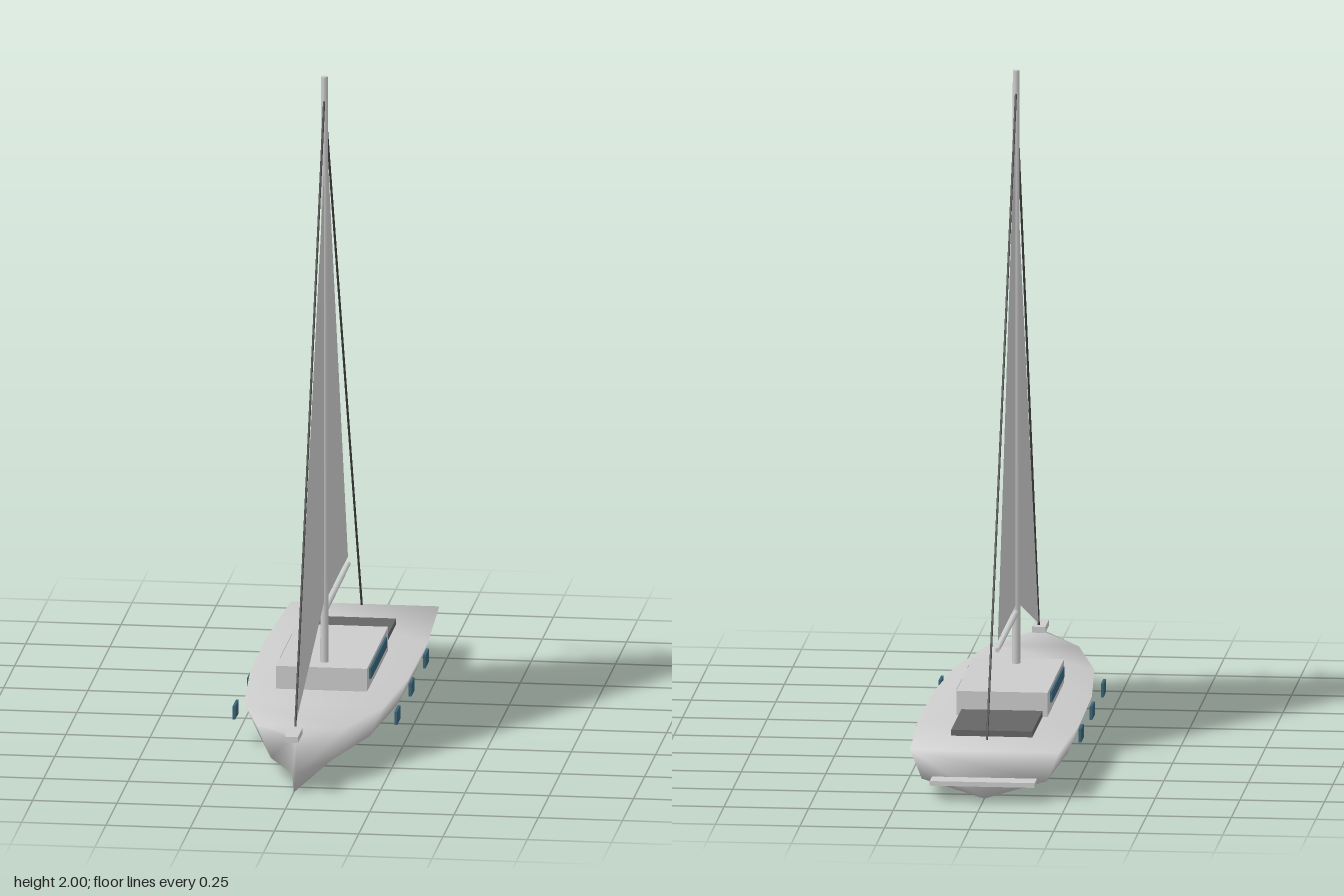
import * as THREE from 'three';

const mat = (color = 0xcccccc, side = THREE.FrontSide) => new THREE.MeshStandardMaterial({ color, side });
const grey = mat();
const glass = mat(0x3a6478);
const dark = mat(0x666666);
const wire = mat(0x444444);
const cloth = mat(0xcccccc, THREE.DoubleSide);

export function createModel() {
  const group = new THREE.Group();

  const add = (name, geometry, material = grey) => {
    const mesh = new THREE.Mesh(geometry, material);
    mesh.name = name;
    group.add(mesh);
    return mesh;
  };
  const box = (name, size, pos, material) =>
    add(name, new THREE.BoxGeometry(...size), material).position.set(...pos);

  // Round bar between two points on the centre plane, given as [y, z]
  const bar = (name, [y0, z0], [y1, z1], r0, r1, sides, material) => {
    const a = new THREE.Vector3(0, y0, z0);
    const b = new THREE.Vector3(0, y1, z1);
    const dir = b.clone().sub(a);
    const mesh = add(name, new THREE.CylinderGeometry(r1, r0, dir.length(), sides), material);
    mesh.position.copy(a).add(b).multiplyScalar(0.5);
    mesh.quaternion.setFromUnitVectors(new THREE.Vector3(0, 1, 0), dir.normalize());
  };

  // Triangular sail from three [y, z] corners
  const sail = (name, corners) => {
    const g = new THREE.BufferGeometry();
    g.setAttribute('position', new THREE.Float32BufferAttribute(corners.flatMap(([y, z]) => [0, y, z]), 3));
    g.computeVertexNormals();
    add(name, g, cloth);
  };

  // Hull
  add('hull', hullGeometry());

  // Cabin with a long window on each side, cockpit, platform and bowsprit
  box('cabin', [0.27, 0.085, 0.48], [0, 0.175, -0.055]);
  box('cockpit', [0.24, 0.03, 0.295], [0, 0.148, -0.443], dark);
  box('sternPlatform', [0.31, 0.014, 0.11], [0, 0.06, -0.815]);
  box('bowsprit', [0.04, 0.018, 0.1], [0, 0.18, 0.82]);
  for (const s of [1, -1]) {
    box('cabinWindow', [0.01, 0.032, 0.36], [s * 0.136, 0.19, -0.045], glass);
    for (const z of [0.295, -0.028, -0.35])
      box('hullWindow', [0.008, 0.04, 0.075], [s * 0.24, 0.11, z], glass);
  }

  // Mast, boom and stays
  bar('mast', [0.145, 0.118], [2, 0.118], 0.0125, 0.01, 12);
  bar('boom', [0.37, 0.118], [0.37, -0.425], 0.009, 0.007, 8);
  bar('forestay', [1.945, 0.118], [0.195, 0.775], 0.0035, 0.0035, 6, wire);
  bar('backstay', [1.945, 0.118], [0.165, -0.727], 0.0035, 0.0035, 6, wire);

  // Sails
  sail('mainSail', [[1.93, 0.105], [0.395, 0.105], [0.395, -0.415]]);
  sail('jib', [[1.71, 0.128], [0.4, 0.128], [0.2, 0.77]]);

  return group;
}

// Five-point sections from bow to stern: [z, half beam at deck, deck height, half beam at chine]
function hullGeometry() {
  const stations = [
    [0.81, 0.008, 0.172, 0.005],
    [0.64, 0.133, 0.16, 0.09],
    [0.36, 0.207, 0.15, 0.165],
    [0, 0.236, 0.146, 0.2],
    [-0.4, 0.239, 0.145, 0.205],
    [-0.805, 0.22, 0.146, 0.185],
  ];
  const pos = [];
  const idx = [];
  for (const [z, w, y, c] of stations)
    pos.push(w, y, z, c, 0.06, z, 0, 0.004, z, -c, 0.06, z, -w, y, z);
  const n = 5;
  const last = (stations.length - 1) * n;
  for (let i = 0; i < last; i += n)
    for (let j = 0; j < n; j++) {
      const k = (j + 1) % n;
      idx.push(i + j, i + k, i + n + j, i + k, i + n + k, i + n + j);
    }
  // Bow and stern ends
  for (let j = 1; j < n - 1; j++) {
    idx.push(0, j + 1, j);
    idx.push(last, last + j, last + j + 1);
  }
  const g = new THREE.BufferGeometry();
  g.setAttribute('position', new THREE.Float32BufferAttribute(pos, 3));
  g.setIndex(idx);
  g.computeVertexNormals();
  return g;
}
